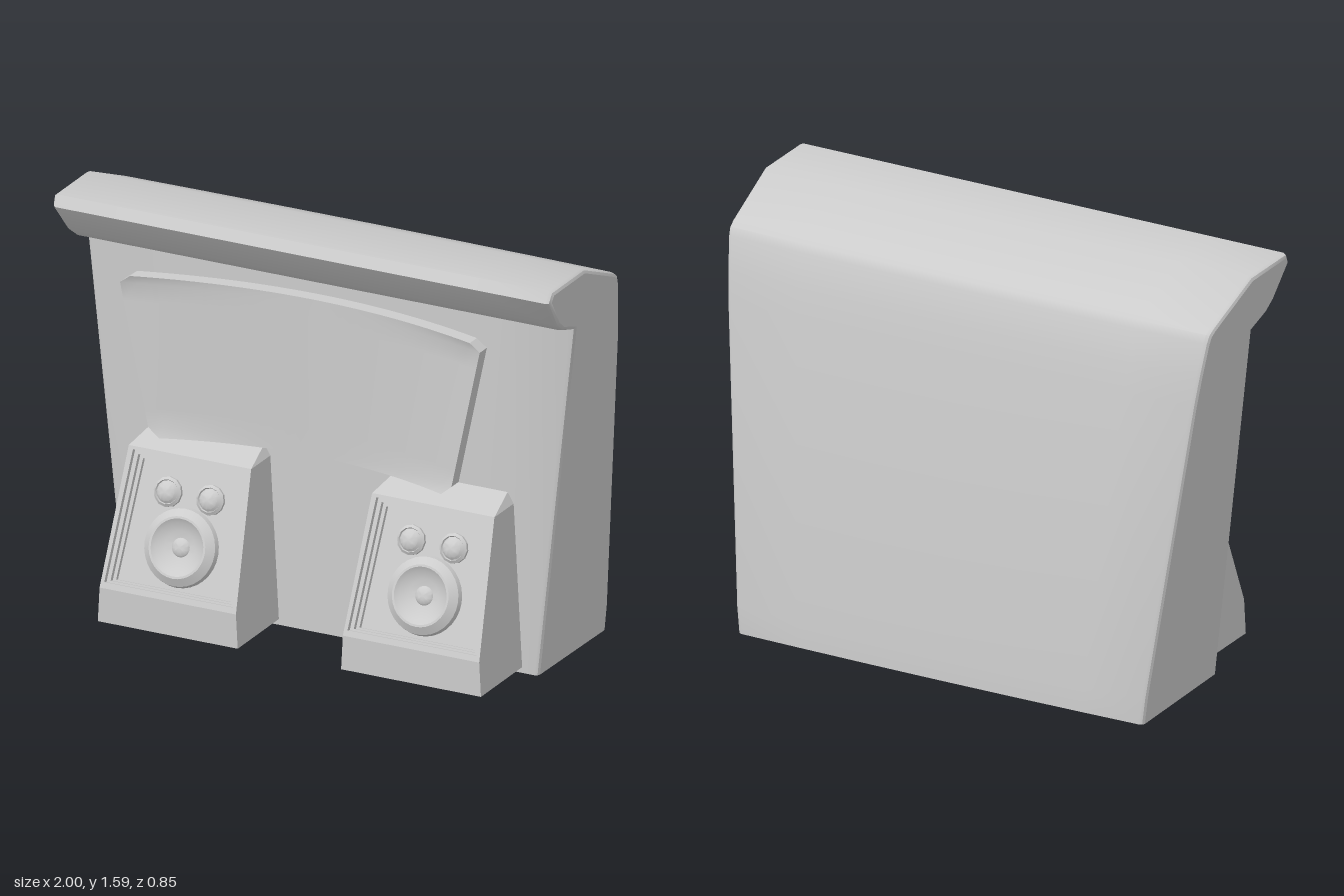
import * as THREE from 'three';
import { toCreasedNormals } from 'three/addons/utils/BufferGeometryUtils.js';

const grey = new THREE.MeshStandardMaterial({ color: 0xcccccc, side: THREE.DoubleSide });

function mesh(name, geometry, parent) {
  const m = new THREE.Mesh(geometry, grey);
  m.name = name;
  parent.add(m);
  return m;
}

// Surface from polygons given as lists of [x, y, z] corners
function polygons(faces, crease = 0.6) {
  const pos = [];
  for (const f of faces)
    for (let i = 1; i < f.length - 1; i++) pos.push(...f[0], ...f[i], ...f[i + 1]);
  const g = new THREE.BufferGeometry();
  g.setAttribute('position', new THREE.Float32BufferAttribute(pos, 3));
  return toCreasedNormals(g, crease);
}

// Quads joining consecutive rings of equal length
function loftFaces(rings, closed) {
  const faces = [];
  for (let r = 0; r < rings.length - 1; r++) {
    const a = rings[r], b = rings[r + 1], n = a.length;
    for (let i = 0; i < (closed ? n : n - 1); i++) {
      const j = (i + 1) % n;
      faces.push([a[i], a[j], b[j], b[i]]);
    }
  }
  return faces;
}

// Moves an open [z, y] profile inwards by d
function inset(profile, d) {
  const normal = (a, b) => new THREE.Vector2(a[1] - b[1], b[0] - a[0]).normalize();
  return profile.map((p, i) => {
    const n1 = normal(profile[Math.max(i - 1, 0)], profile[Math.max(i, 1)]);
    const k = Math.min(i, profile.length - 2);
    const n2 = normal(profile[k], profile[k + 1]);
    const m = n1.clone().add(n2).normalize();
    const s = d / m.dot(n1);
    return [p[0] + m.x * s, p[1] + m.y * s];
  });
}

function cabinet() {
  const g = new THREE.Group();
  g.name = 'cabinet';
  // Side outline: front wall, overhanging visor, roof, leaning back; open below
  const profile = [[0.11, 0.008], [0.11, 1.36], [0.205, 1.393], [0.25, 1.427], [0.34, 1.545],
    [0.318, 1.585], [0.07, 1.585], [-0.18, 1.478], [-0.208, 1.46], [-0.222, 1.43],
    [-0.25, 1.31], [-0.27, 1.2], [-0.412, 0.1], [-0.415, 0]];
  const halfWidth = y => 0.83 + 0.108 * y;
  const half = [[1, 0.015], [0.994, 0.005], [0.982, 0], [0.7, 0], [0.35, 0]];
  const stations = [...half, [0, 0], ...half.map(([u, d]) => [-u, d]).reverse()];
  const rings = stations.map(([u, d]) => inset(profile, d).map(([z, y]) =>
    [u * halfWidth(y), y, z < -0.1 ? z - 0.01 * (1 - u * u) : z]));
  mesh('shell', polygons(loftFaces(rings, false)), g);

  // Flat cheeks closing both ends
  const outline = inset(profile, 0.015).map(p => new THREE.Vector2(...p));
  for (const s of [1, -1]) {
    const cheek = new THREE.ShapeGeometry(new THREE.Shape(outline));
    const p = cheek.attributes.position;
    for (let i = 0; i < p.count; i++) {
      const z = p.getX(i), y = p.getY(i);
      p.setXYZ(i, s * halfWidth(y), y, z);
    }
    cheek.computeVertexNormals();
    mesh('sidePanel', cheek, g);
  }
  return g;
}

// Curved display: concave front, domed back, chamfered trapezoid outline
function screen() {
  const rows = [[0.74, 0.565], [0.775, 0.607]];
  for (let i = 1; i < 8; i++) rows.push([0.775 + 0.535 * i / 8, 0.607 + 0.113 * i / 8]);
  rows.push([1.31, 0.72], [1.34, 0.68]);
  const N = 24;
  const us = Array.from({ length: N + 1 }, (_, i) => -1 + 2 * i / N);
  const front = [], back = [];
  for (const [y, h] of rows) {
    const v = (y - 1.04) / 0.3;
    front.push(us.map(u => [u * h, y, 0.24 + 0.105 * u * u]));
    back.push(us.map(u =>
      [u * h, y, 0.185 + 0.105 * u * u - 0.085 * (1 - v * v) * (1 - u * u)]));
  }
  const rings = front.map((f, i) => [...f, ...back[i].slice().reverse()]);
  const last = rows.length - 1;
  const faces = [...loftFaces(rings, true),
    ...loftFaces([back[0], front[0]], false),
    ...loftFaces([front[last], back[last]], false)];
  const g = new THREE.Group();
  g.name = 'screen';
  mesh('curvedPanel', polygons(faces), g);
  return g;
}

// Round driver from a lathe profile, axis pointing out of the baffle
function driver(name, points, sides, u, v, d, parent) {
  const geo = new THREE.LatheGeometry(points.map(p => new THREE.Vector2(...p)), sides);
  geo.rotateX(Math.PI / 2);
  const m = mesh(name, toCreasedNormals(geo.toNonIndexed(), 0.5), parent);
  m.position.set(u, v, d);
}

function speaker(x) {
  const g = new THREE.Group();
  g.name = 'speaker';
  g.position.x = x;

  // Housing, open at the back and below
  const faces = [];
  const A = s => [s * 0.28, 0.03, 0.425], B = s => [s * 0.273, 0.16, 0.425];
  const C = s => [s * 0.245, 0.65, 0.255], D = s => [s * 0.222, 0.69, 0.11];
  const E = s => [s * 0.28, 0.03, 0.11], F = s => [s * 0.246, 0.65, 0.11];
  faces.push([A(-1), A(1), B(1), B(-1)], [C(-1), C(1), D(1), D(-1)]);
  for (const s of [1, -1]) {
    const side = [[A(s), E(s), F(s), C(s), B(s)], [C(s), F(s), D(s)]];
    faces.push(...side.map(f => (s > 0 ? f : f.reverse())));
  }
  mesh('housing', polygons(faces, 0.1), g);

  // Leaning baffle with a stepped recess
  const baffle = new THREE.Group();
  baffle.name = 'baffle';
  baffle.position.set(0, 0.16, 0.425);
  baffle.rotation.x = -Math.atan2(0.17, 0.49);
  g.add(baffle);
  const ring = (b, t, v0, v1, d) => [[-b, v0, d], [b, v0, d], [t, v1, d], [-t, v1, d]];
  const hole = (i, d) => ring(0.258 - i, 0.226 - i, 0.022 + i * 0.5, 0.507 - i, d);
  const steps = [ring(0.273, 0.245, 0, 0.519, 0), hole(0, 0), hole(0, -0.018),
    hole(0.015, -0.018), hole(0.015, -0.035), hole(0.028, -0.035), hole(0.028, -0.05)];
  mesh('recessFrame', polygons([...loftFaces(steps, true), steps[6]], 0.1), baffle);

  // Woofer with a sunken cone, and two domed tweeters
  driver('woofer', [[0.145, 0], [0.14, 0.02], [0.112, 0.042], [0.104, 0.042], [0.09, 0.03],
    [0.06, 0.016], [0.035, 0.01], [0.03, 0.016], [0.016, 0.022], [0, 0.024]],
    32, 0, 0.192, -0.05, baffle);
  for (const s of [1, -1])
    driver('tweeter', [[0.055, 0], [0.055, 0.012], [0.045, 0.02], [0.042, 0.014],
      [0.034, 0.024], [0.018, 0.032], [0, 0.035]], 12, s * 0.085, 0.378, -0.05, baffle);
  return g;
}

export function createModel() {
  const model = new THREE.Group();
  model.name = 'console';
  model.add(cabinet(), screen(), speaker(0.487), speaker(-0.487));
  return model;
}
